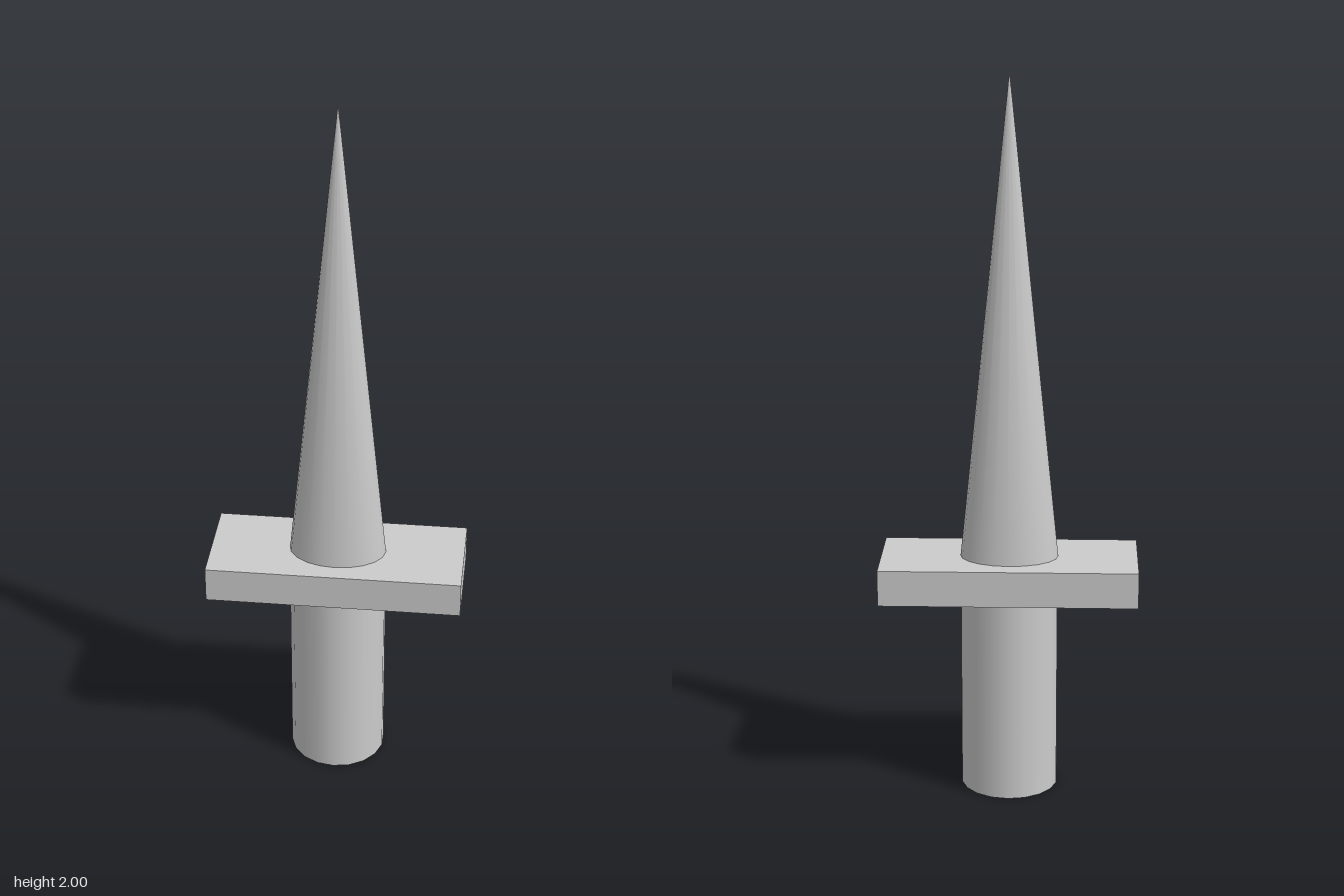
import * as THREE from 'three';

export function createModel() {
  const model = new THREE.Group();
  const material = new THREE.MeshStandardMaterial({ color: 0xcccccc });

  const add = (name, geometry, y) => {
    const mesh = new THREE.Mesh(geometry, material);
    mesh.name = name;
    mesh.position.y = y;
    model.add(mesh);
  };

  // Round grip
  add('handle', new THREE.CylinderGeometry(0.135, 0.135, 0.57, 18), 0.285);

  // Flat crossguard
  add('guard', new THREE.BoxGeometry(0.708, 0.1, 0.29), 0.62);

  // Tapered blade, flattened front to back
  const blade = new THREE.ConeGeometry(0.135, 1.33, 20);
  blade.scale(1, 1, 0.7);
  add('blade', blade, 1.335);

  return model;
}
